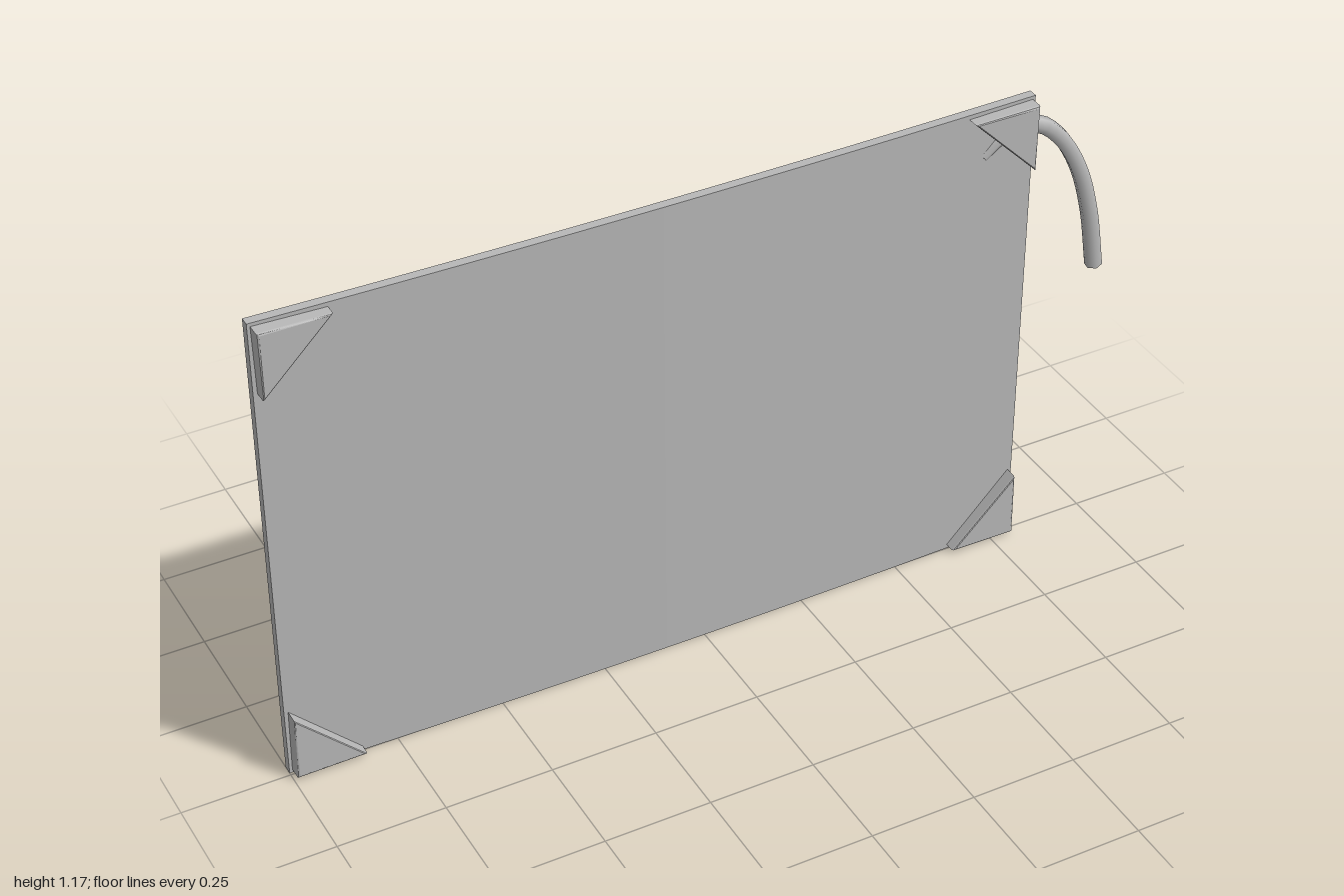
import * as THREE from 'three';

export function createModel() {
  const grey = new THREE.MeshStandardMaterial({ color: 0xb8b8b8 });
  grey.name = 'grey';
  const model = new THREE.Group();
  const add = (name, geometry, x = 0, y = 0, z = 0) => {
    const mesh = new THREE.Mesh(geometry, grey);
    mesh.name = name;
    mesh.position.set(x, y, z);
    model.add(mesh);
    return mesh;
  };

  // Slightly bowed panel: the middle bulges to the front
  const half = 0.905, midX = -0.095, height = 1.17;
  const bow = (u) => 0.008 - 0.014 * u * u;
  const outline = new THREE.Shape();
  const steps = 16;
  for (let i = 0; i <= steps; i++) {
    const u = -1 + (2 * i) / steps;
    if (i === 0) outline.moveTo(u * half, -bow(u));
    else outline.lineTo(u * half, -bow(u));
  }
  for (let i = steps; i >= 0; i--) {
    const u = -1 + (2 * i) / steps;
    outline.lineTo(u * half, -bow(u) + 0.022);
  }
  const panel = new THREE.ExtrudeGeometry(outline, { depth: height, bevelEnabled: false });
  panel.rotateX(-Math.PI / 2);
  add('panel', panel, midX, 0, 0);

  // Triangular corner protectors with softened edges, clasping both faces
  const b = 0.005;
  const cornerGeometry = (sx, sy) => {
    const leg = 0.155;
    const s = new THREE.Shape([
      new THREE.Vector2(-sx * b, -sy * b),
      new THREE.Vector2(-sx * leg, -sy * b),
      new THREE.Vector2(-sx * b, -sy * leg),
    ]);
    return new THREE.ExtrudeGeometry(s, {
      depth: 0.054, bevelThickness: b, bevelSize: b, bevelSegments: 2,
    });
  };
  for (const sx of [-1, 1])
    for (const sy of [-1, 1])
      add('cornerProtector', cornerGeometry(sx, sy),
        midX + sx * 0.898, height / 2 + sy * 0.577, -0.032);

  // Six-sided cord through the upper corner, hanging at the side
  const path = new THREE.CatmullRomCurve3([
    [0.685, 1.05, -0.017], [0.73, 1.085, -0.015], [0.79, 1.1, -0.01], [0.83, 1.092, -0.005],
    [0.88, 1.045, 0.002], [0.925, 0.96, 0.01], [0.955, 0.85, 0.016], [0.977, 0.7, 0.02],
  ].map((p) => new THREE.Vector3(...p)));
  const cord = add('cord', new THREE.TubeGeometry(path, 28, 0.02, 6, false));

  // Flat caps close the cord ends
  for (const t of [0, 1]) {
    const cap = new THREE.Mesh(new THREE.CircleGeometry(0.02, 6), grey);
    cap.name = 'cordEnd';
    cap.position.copy(path.getPoint(t));
    const out = path.getTangent(t).multiplyScalar(t ? 1 : -1);
    cap.quaternion.setFromUnitVectors(new THREE.Vector3(0, 0, 1), out);
    cord.add(cap);
  }

  // Round stop on the back that holds the cord
  const stop = new THREE.CylinderGeometry(0.042, 0.042, 0.014, 24);
  stop.rotateX(Math.PI / 2);
  add('cordStop', stop, 0.68, 1.04, -0.029);

  return model;
}
